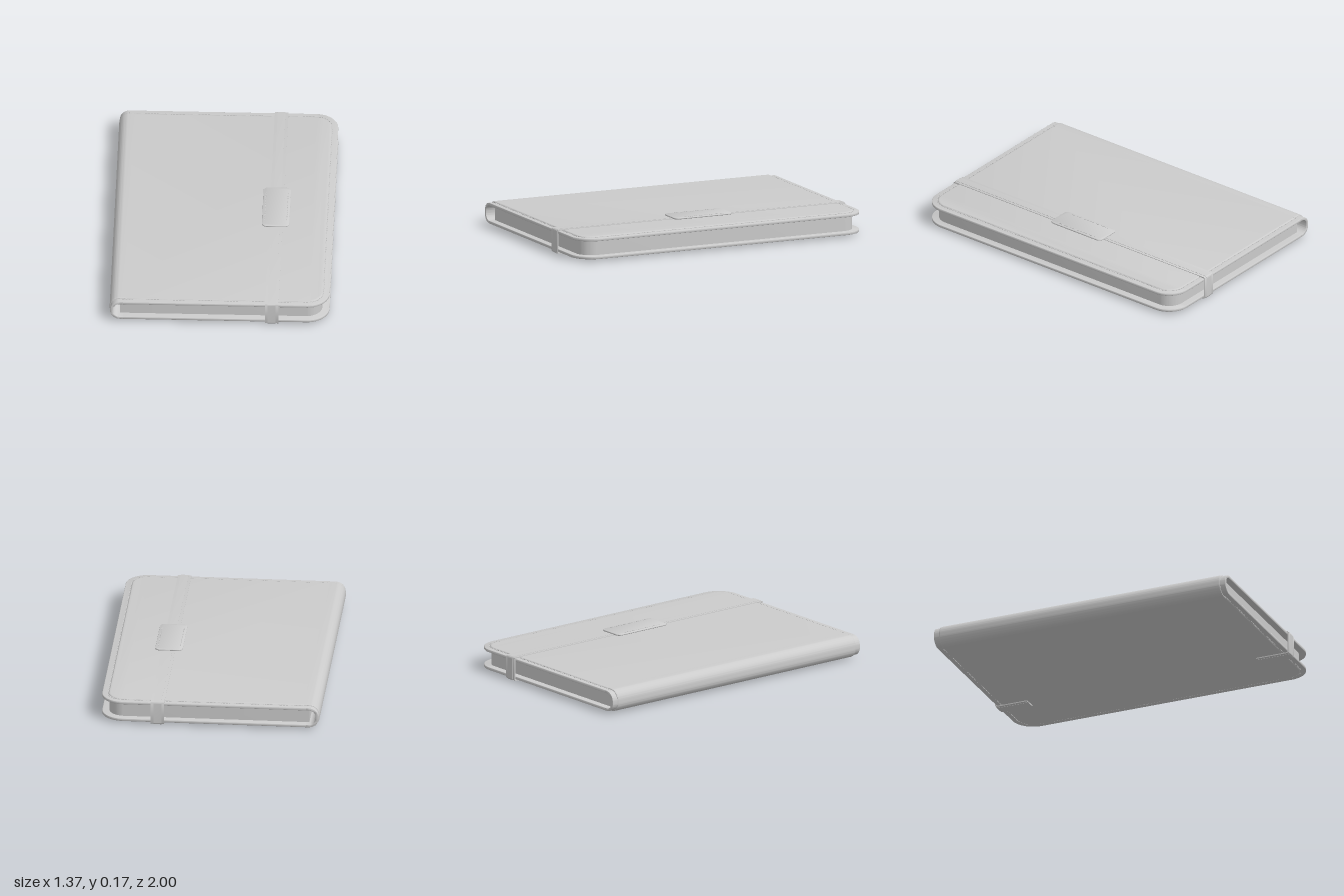
import * as THREE from 'three';
import { mergeGeometries, toCreasedNormals } from 'three/addons/utils/BufferGeometryUtils.js';

const material = new THREE.MeshStandardMaterial({ color: 0xcccccc, roughness: 0.8 });

function addMesh(parent, name, geometry, crease = 0.6) {
  const mesh = new THREE.Mesh(toCreasedNormals(geometry, crease), material);
  mesh.name = name;
  parent.add(mesh);
  return mesh;
}

// Rectangle with separate corner radii on its -x and +x sides
function plateShape(x0, x1, halfZ, rLeft, rRight) {
  const s = new THREE.Shape();
  s.moveTo(x0 + rLeft, -halfZ);
  s.lineTo(x1 - rRight, -halfZ);
  s.absarc(x1 - rRight, -halfZ + rRight, rRight, -Math.PI / 2, 0, false);
  s.lineTo(x1, halfZ - rRight);
  s.absarc(x1 - rRight, halfZ - rRight, rRight, 0, Math.PI / 2, false);
  s.lineTo(x0 + rLeft, halfZ);
  if (rLeft > 0) s.absarc(x0 + rLeft, halfZ - rLeft, rLeft, Math.PI / 2, Math.PI, false);
  s.lineTo(x0, -halfZ + rLeft);
  if (rLeft > 0) s.absarc(x0 + rLeft, -halfZ + rLeft, rLeft, Math.PI, Math.PI * 1.5, false);
  return s;
}

// Horizontal slab between two heights, with softened rims
function slab(shape, y0, y1, bevelSize, bevelHeight) {
  const g = new THREE.ExtrudeGeometry(shape, {
    depth: y1 - y0 - 2 * bevelHeight, curveSegments: 16, bevelEnabled: bevelSize > 0,
    bevelSize, bevelThickness: bevelHeight, bevelOffset: -bevelSize, bevelSegments: 4,
  });
  g.rotateX(-Math.PI / 2);
  g.translate(0, y0 + bevelHeight, 0);
  return g;
}

// C-shaped spine running along z
function spine(x0, xEnd, y0, y1, t, r, halfZ, bevel) {
  const s = new THREE.Shape();
  const ri = r - t, cx = x0 + r;
  s.moveTo(xEnd, y1);
  s.lineTo(cx, y1);
  s.absarc(cx, y1 - r, r, Math.PI / 2, Math.PI, false);
  s.absarc(cx, y0 + r, r, Math.PI, Math.PI * 1.5, false);
  s.lineTo(xEnd, y0);
  s.lineTo(xEnd, y0 + t);
  s.lineTo(cx, y0 + t);
  s.absarc(cx, y0 + r, ri, Math.PI * 1.5, Math.PI, true);
  s.absarc(cx, y1 - r, ri, Math.PI, Math.PI / 2, true);
  s.lineTo(xEnd, y1 - t);
  const g = new THREE.ExtrudeGeometry(s, {
    depth: 2 * (halfZ - bevel), curveSegments: 12, bevelEnabled: true,
    bevelSize: bevel / 2, bevelThickness: bevel, bevelOffset: -bevel / 2, bevelSegments: 3,
  });
  g.translate(0, 0, -halfZ + bevel);
  return g;
}

// Elastic band: over the top, down both ends and tucked under the back
function band(x0, x1, halfZ, y0, y1, t, tuck) {
  const s = new THREE.Shape();
  const r = 0.014, ri = r - t;
  const a = halfZ - r;
  s.moveTo(tuck, y0);
  s.lineTo(a, y0);
  s.absarc(a, y0 + r, r, -Math.PI / 2, 0, false);
  s.absarc(a, y1 - r, r, 0, Math.PI / 2, false);
  s.absarc(-a, y1 - r, r, Math.PI / 2, Math.PI, false);
  s.absarc(-a, y0 + r, r, Math.PI, Math.PI * 1.5, false);
  s.lineTo(-tuck, y0);
  s.lineTo(-tuck, y0 + t);
  s.absarc(-a, y0 + r, ri, Math.PI * 1.5, Math.PI, true);
  s.absarc(-a, y1 - r, ri, Math.PI, Math.PI / 2, true);
  s.absarc(a, y1 - r, ri, Math.PI / 2, 0, true);
  s.absarc(a, y0 + r, ri, 0, -Math.PI / 2, true);
  s.lineTo(tuck, y0 + t);
  const g = new THREE.ExtrudeGeometry(s, { depth: x1 - x0, curveSegments: 6, bevelEnabled: false });
  g.rotateY(Math.PI / 2);
  g.translate(x0, 0, 0);
  return g;
}

// Row of small thread dashes along a flat path of (x, z) points
function stitches(points, y, length) {
  const dashes = [];
  for (let i = 0; i + 1 < points.length; i++) {
    const a = points[i], b = points[i + 1];
    const g = new THREE.BoxGeometry(length, 0.003, 0.004);
    g.rotateY(-Math.atan2(b.y - a.y, b.x - a.x));
    g.translate((a.x + b.x) / 2, y, (a.y + b.y) / 2);
    dashes.push(g);
  }
  return mergeGeometries(dashes);
}

export function createModel() {
  const model = new THREE.Group();
  model.name = 'folioCase';

  // Inner block between the covers
  addMesh(model, 'innerBlock', slab(plateShape(-0.62, 0.64, 0.95, 0, 0.1), 0.03, 0.13, 0, 0));

  // Spine: thin edge layer and padded outer layer
  addMesh(model, 'spineEdge', spine(-0.681, -0.6, 0.015, 0.145, 0.017, 0.06, 0.993, 0.004));
  addMesh(model, 'spinePadding', spine(-0.685, -0.585, 0.008, 0.152, 0.016, 0.064, 0.957, 0.01));

  // Path of the seam around the three free sides of a cover
  const seam = new THREE.Path();
  seam.moveTo(-0.61, -0.961);
  seam.lineTo(0.545, -0.961);
  seam.absarc(0.545, -0.858, 0.103, -Math.PI / 2, 0, false);
  seam.lineTo(0.648, 0.858);
  seam.absarc(0.545, 0.858, 0.103, 0, Math.PI / 2, false);
  seam.lineTo(-0.61, 0.961);
  const seamPoints = seam.getSpacedPoints(220);

  // Two covers: flat rim, raised padding, stitched seam
  const covers = [
    { name: 'front', rim: [0.128, 0.146], pad: [0.136, 0.152], thread: 0.1465 },
    { name: 'back', rim: [0.014, 0.032], pad: [0.008, 0.024], thread: 0.0135 },
  ];
  for (const c of covers) {
    const cover = new THREE.Group();
    cover.name = c.name + 'Cover';
    addMesh(cover, 'rim', slab(plateShape(-0.622, 0.685, 0.993, 0, 0.14), ...c.rim, 0.004, 0.004));
    addMesh(cover, 'padding', slab(plateShape(-0.61, 0.645, 0.957, 0, 0.1), ...c.pad, 0.014, 0.007));
    addMesh(cover, 'seamStitches', stitches(seamPoints, c.thread, 0.014));
    model.add(cover);
  }

  // Elastic band with a slightly raised middle rib
  addMesh(model, 'elasticBand', band(0.285, 0.37, 0.9985, 0.0015, 0.155, 0.007, 0.78));
  addMesh(model, 'elasticRib', band(0.303, 0.352, 1, 0, 0.1565, 0.007, 0.78));

  // Stitched tab on the band
  const tab = new THREE.Group();
  tab.name = 'bandTab';
  addMesh(tab, 'tabPlate', slab(plateShape(0.24, 0.412, 0.2, 0.03, 0.03), 0.155, 0.165, 0.004, 0.004));
  for (const x of [0.257, 0.395]) {
    const line = Array.from({ length: 23 }, (_, i) => new THREE.Vector2(x, -0.145 + i * 0.0132));
    addMesh(tab, 'tabStitches', stitches(line, 0.1655, 0.008));
  }
  model.add(tab);

  return model;
}
